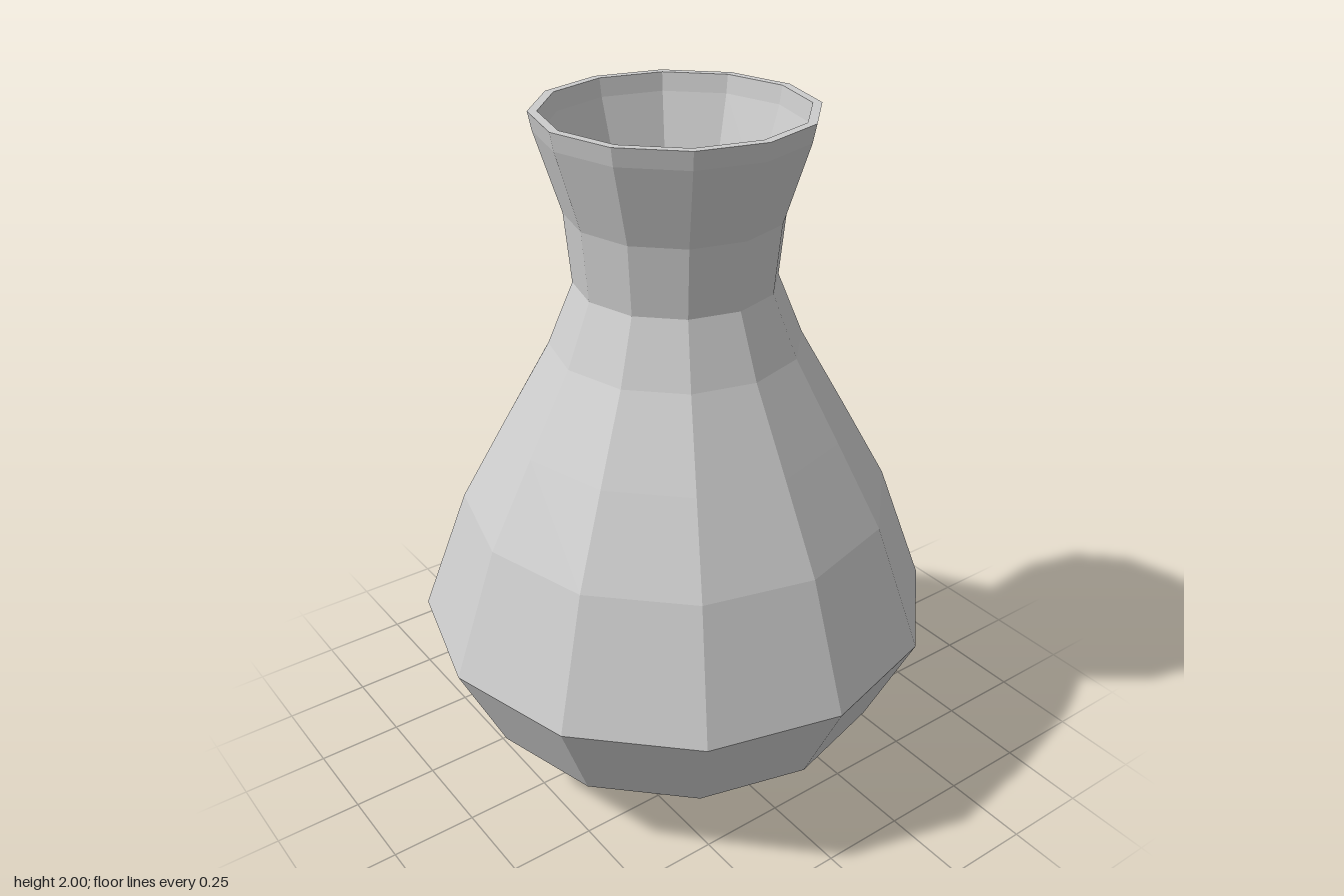
import * as THREE from 'three';

const SIDES = 12;

// Faceted ring surface from a [radius, height] profile
function facetedLathe(name, profile, material) {
  const points = profile.map(([r, y]) => new THREE.Vector2(r, y));
  const geometry = new THREE.LatheGeometry(points, SIDES).toNonIndexed();
  geometry.computeVertexNormals();
  const mesh = new THREE.Mesh(geometry, material);
  mesh.name = name;
  return mesh;
}

export function createModel() {
  const clay = new THREE.MeshStandardMaterial({ color: 0xcccccc, flatShading: true });
  clay.name = 'pale grey clay';

  // Outer wall, from the foot up to the lip
  const outer = [
    [0.32, 0], [0.43, 0.09], [0.615, 0.235], [0.75, 0.525], [0.615, 0.89],
    [0.482, 1.13], [0.352, 1.36], [0.28, 1.535], [0.298, 1.73], [0.367, 1.95], [0.377, 2],
  ];
  // Inner wall, from the lip down to the floor
  const inner = [
    [0.352, 2], [0.343, 1.95], [0.273, 1.73], [0.254, 1.535], [0.328, 1.36],
    [0.458, 1.12], [0.59, 0.88], [0.723, 0.527], [0.597, 0.25], [0.42, 0.11], [0.31, 0.03],
  ];

  const vase = new THREE.Group();
  vase.name = 'vase';
  vase.add(
    facetedLathe('base', [[0, 0], outer[0]], clay),
    facetedLathe('outerWall', outer, clay),
    facetedLathe('rim', [outer[outer.length - 1], inner[0]], clay),
    facetedLathe('innerWall', inner, clay),
    facetedLathe('innerFloor', [inner[inner.length - 1], [0, 0.03]], clay),
  );
  return vase;
}
